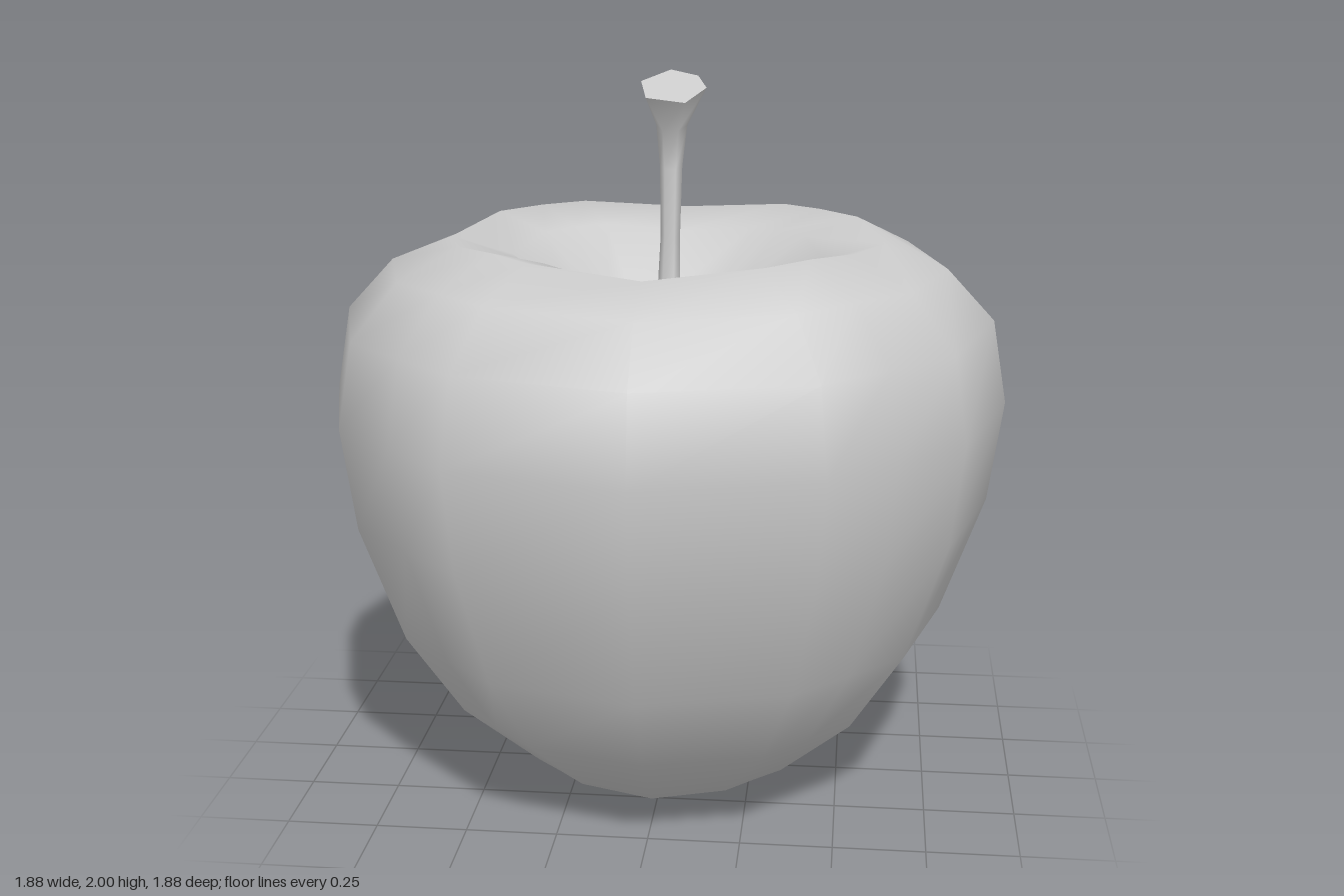
import * as THREE from 'three';

// Smooth skin through rings of points (bottom to top); optional centre points close the ends.
function loft(rings, bottom, top) {
  const n = rings[0].length, pos = rings.flat(2), idx = [];
  for (let i = 0; i < rings.length - 1; i++) {
    for (let j = 0; j < n; j++) {
      const a = i * n + j, b = i * n + (j + 1) % n;
      idx.push(a, a + n, b, b, a + n, b + n);
    }
  }
  const close = (centre, first, flip) => {
    const p = pos.length / 3;
    pos.push(...centre);
    for (let j = 0; j < n; j++) {
      const a = first + j, b = first + (j + 1) % n;
      idx.push(p, flip ? b : a, flip ? a : b);
    }
  };
  if (bottom) close(bottom, 0, false);
  if (top) close(top, (rings.length - 1) * n, true);
  const geo = new THREE.BufferGeometry();
  geo.setAttribute('position', new THREE.Float32BufferAttribute(pos, 3));
  geo.setIndex(idx);
  geo.computeVertexNormals();
  return geo;
}

export function createModel() {
  const group = new THREE.Group();
  const material = new THREE.MeshStandardMaterial({ color: 0xcccccc });
  const add = (name, geo) => {
    const mesh = new THREE.Mesh(geo, material);
    mesh.name = name;
    group.add(mesh);
  };

  // Fruit body: [radius, height, extra height on the diagonals], from base to dimple
  const profile = [
    [0.4, 0.07, 0.01], [0.62, 0.27, 0], [0.78, 0.51, 0], [0.9, 0.84, 0],
    [0.94, 1.12, 0], [0.9, 1.35, 0], [0.77, 1.49, 0.01], [0.6, 1.557, 0.028],
    [0.43, 1.51, 0.03], [0.27, 1.37, 0.02], [0.15, 1.28, 0],
  ];
  // Sixteen columns; the diagonal ones lie on the chord between their neighbours
  const columns = [0, 1, 2, 3].flatMap(q => [0, 30, 45, 60].map(d => q * 90 + d));
  const bodyRings = profile.map(([r, y, lift]) => columns.map(deg => {
    const a = THREE.MathUtils.degToRad(deg);
    const diagonal = Math.abs(Math.sin(2 * a));
    const s = deg % 90 === 45 ? r * 0.966 : r;
    return [s * Math.cos(a), y + lift * diagonal, s * Math.sin(a)];
  }));
  add('fruitBody', loft(bodyRings, [0, 0, 0], [0, 1.25, 0]));

  // Stem: six-sided, leaning back and flaring at the tip; [x, y, z, radius]
  const stemPath = [
    [0, 1.22, 0, 0.045], [0.003, 1.4, -0.035, 0.032],
    [0.005, 1.56, -0.055, 0.027], [0.005, 1.75, -0.075, 0.031],
    [0.005, 1.86, -0.093, 0.043],
  ];
  const stemRings = stemPath.map(([x, y, z, r], i) => Array.from({ length: 6 }, (_, j) => {
    const a = j * Math.PI / 3;
    const dz = r * Math.sin(a);
    return [x + r * Math.cos(a), y - dz * 0.08 * i, z + dz];
  }));
  // Slanted, uneven cut at the tip
  const tip = [[0.1, -0.1], [0.05, 0], [-0.06, -0.03], [-0.085, -0.14], [-0.01, -0.22], [0.07, -0.18]]
    .map(([x, z]) => [x, 1.93 - 0.318 * z, z]);
  add('stem', loft([...stemRings, tip]));
  add('stemCut', loft([tip], null, [0, 1.965, -0.11]));

  return group;
}
